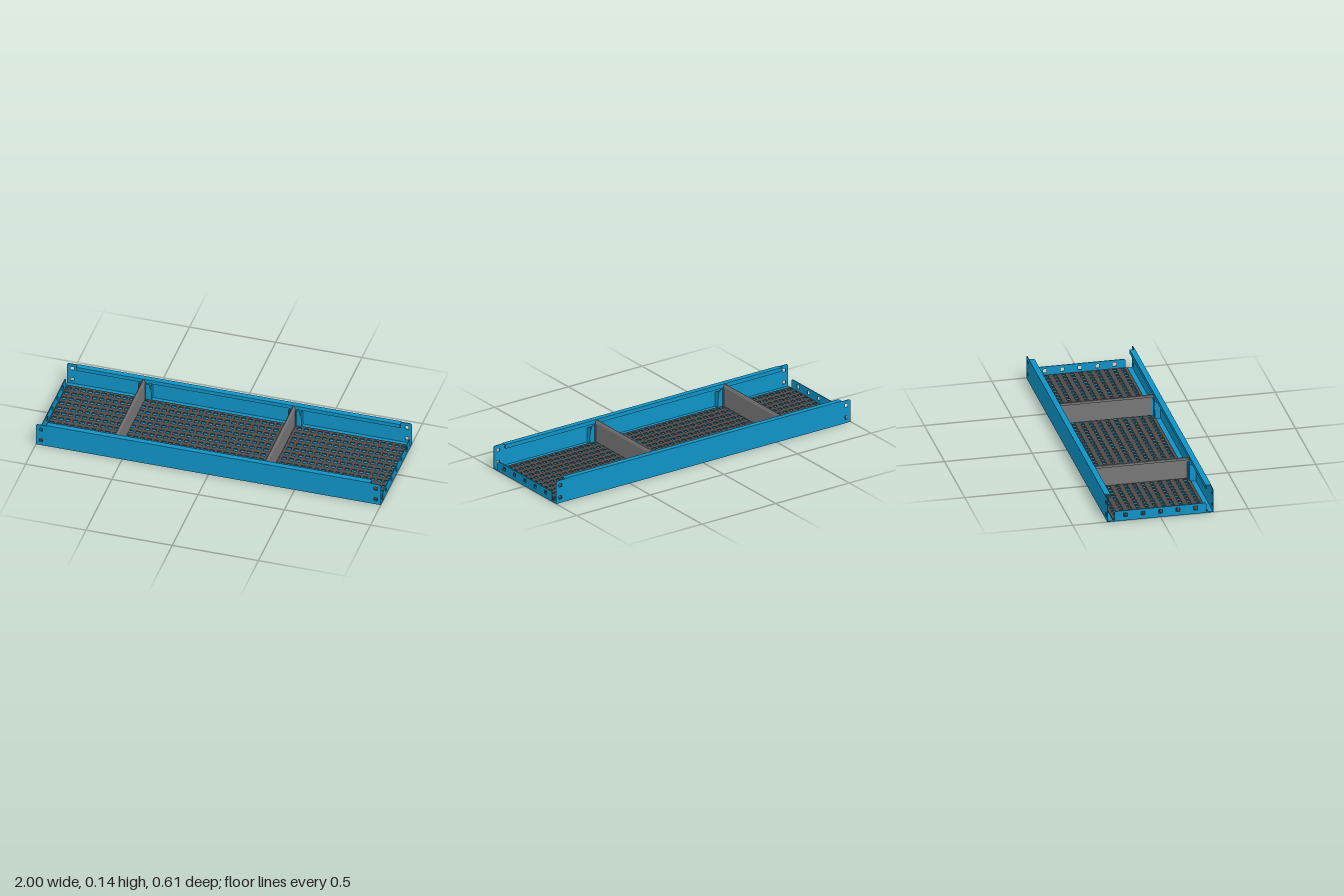
import * as THREE from 'three';

const blue = new THREE.MeshStandardMaterial({ color: 0x0f93c6 });
const grey = new THREE.MeshStandardMaterial({ color: 0x777777 });
const darkGrey = new THREE.MeshStandardMaterial({ color: 0x4d4b4a });

function polygon(points, Type = THREE.Shape) {
  return new Type(points.map(([x, y]) => new THREE.Vector2(x, y)));
}

function rect(cx, cy, w, h, Type = THREE.Path) {
  const x = w / 2, y = h / 2;
  return polygon([[cx - x, cy - y], [cx + x, cy - y], [cx + x, cy + y], [cx - x, cy + y]], Type);
}

// Plate with a centred thickness
function plate(shape, depth) {
  const g = new THREE.ExtrudeGeometry(shape, { depth, bevelEnabled: false, curveSegments: 8 });
  return g.translate(0, 0, -depth / 2);
}

function add(parent, name, geometry, material, x = 0, y = 0, z = 0) {
  const mesh = new THREE.Mesh(geometry, material);
  mesh.name = name;
  mesh.position.set(x, y, z);
  parent.add(mesh);
  return mesh;
}

// Long wall with hollow folded rim, built on the +z side
function longWall() {
  const wall = new THREE.Group();
  wall.name = 'longWall';
  const c = 0.008;
  const face = polygon([[-1, 0], [1, 0], [1, 0.137 - c], [1 - c, 0.137], [0.94, 0.137], [0.935, 0.14],
    [-0.935, 0.14], [-0.94, 0.137], [-1 + c, 0.137], [-1, 0.137 - c]]);
  for (const x of [-0.97, 0.97]) for (const y of [0.033, 0.106]) face.holes.push(rect(x, y, 0.02, 0.02));
  add(wall, 'wallFace', plate(face, 0.004), blue, 0, 0, 0.301);
  add(wall, 'wallTopFlange', new THREE.BoxGeometry(1.88, 0.003, 0.031), blue, 0, 0.1385, 0.2865);
  add(wall, 'wallLip', new THREE.BoxGeometry(1.88, 0.022, 0.004), blue, 0, 0.127, 0.274);
  add(wall, 'lipHem', new THREE.BoxGeometry(1.88, 0.012, 0.003), blue, 0, 0.123, 0.2785);
  return wall;
}

// Curved gusset and clip plate holding one divider end, built on the +z side
function dividerBracket() {
  const bracket = new THREE.Group();
  bracket.name = 'dividerBracket';
  const s = new THREE.Shape();
  s.moveTo(-0.3, 0.004);
  s.lineTo(-0.3, 0.08);
  s.quadraticCurveTo(-0.297, 0.1, -0.275, 0.104);
  s.lineTo(-0.262, 0.112);
  s.lineTo(-0.262, 0.004);
  for (const x of [-0.036, 0.036]) {
    add(bracket, 'gusset', plate(s, 0.004), blue, x).rotation.y = Math.PI / 2;
  }
  const clip = polygon([[-0.04, 0.004], [0.04, 0.004], [0.04, 0.06], [0.025, 0.115], [-0.025, 0.115], [-0.04, 0.06]]);
  add(bracket, 'clipPlate', plate(clip, 0.004), blue, 0, 0, 0.267);
  for (const x of [-0.008, 0.008]) {
    add(bracket, 'clipTab', new THREE.BoxGeometry(0.003, 0.107, 0.01), blue, x, 0.06, 0.262);
  }
  return bracket;
}

export function createModel() {
  const model = new THREE.Group();
  model.name = 'shelfTray';

  // Floor with fixing holes near both ends
  const floor = rect(0, 0, 2, 0.606, THREE.Shape);
  for (const x of [-0.97, 0.97]) {
    for (let i = -2; i <= 2; i++) floor.holes.push(rect(x, i * 0.12125, 0.016, 0.016));
  }
  add(model, 'floor', plate(floor, 0.005), blue, 0, 0.0025).rotation.x = -Math.PI / 2;

  // Perforated mat on the floor
  const mat = rect(0, 0, 1.98, 0.54, THREE.Shape);
  for (let i = 0; i < 49; i++) {
    for (let j = -5; j <= 5; j++) {
      mat.holes.push(rect(-0.97 + (i * 1.94) / 48, j * 0.0485, 0.025, 0.021));
    }
  }
  add(model, 'perforatedMat', plate(mat, 0.006), darkGrey, 0, 0.008).rotation.x = -Math.PI / 2;

  // Long walls, front and back
  const front = longWall();
  const back = longWall();
  back.rotation.y = Math.PI;
  model.add(front, back);

  // Low end panels with square holes
  const end = polygon([[-0.262, 0], [0.262, 0], [0.262, 0.052], [0.254, 0.06], [-0.254, 0.06], [-0.262, 0.052]]);
  for (let i = -2; i <= 2; i++) end.holes.push(rect(i * 0.0995, 0.034, 0.022, 0.022));
  for (const side of [-1, 1]) {
    add(model, 'endPanel', plate(end, 0.005), blue, side * 0.9975).rotation.y = Math.PI / 2;
  }

  // Dividers with a folded top edge, and their brackets
  const profile = polygon([[-0.003, 0.011], [0.003, 0.011], [0.003, 0.123], [-0.002, 0.137], [-0.006, 0.14],
    [-0.012, 0.138], [-0.012, 0.124], [-0.009, 0.124], [-0.008, 0.134], [-0.003, 0.122]]);
  for (const x of [-0.54, 0.33]) {
    add(model, 'divider', plate(profile, 0.534), grey, x);
    for (const turn of [0, Math.PI]) {
      const bracket = dividerBracket();
      bracket.position.x = x;
      bracket.rotation.y = turn;
      model.add(bracket);
    }
  }
  return model;
}
